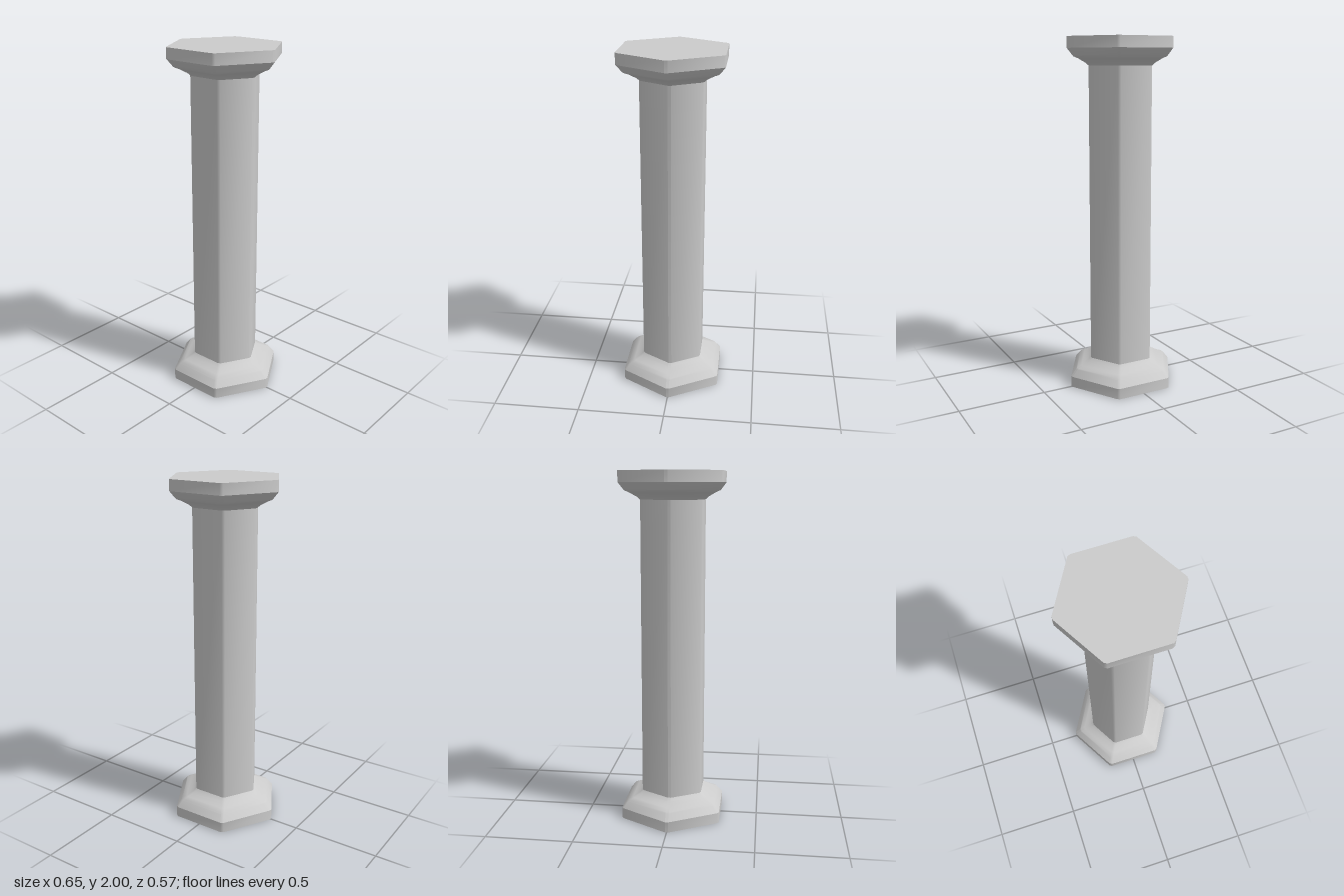
import * as THREE from 'three';
import { toCreasedNormals } from 'three/addons/utils/BufferGeometryUtils.js';

const CHAMFER = 0.01;

// Hexagon of circumradius r at height y, each corner cut by a small chamfer
function hexRing(r, y) {
  const corner = (k) => new THREE.Vector3(r * Math.cos(k * Math.PI / 3), y, -r * Math.sin(k * Math.PI / 3));
  const ring = [];
  for (let k = 0; k < 6; k++) {
    const c = corner(k);
    ring.push(c.clone().lerp(corner(k - 1), CHAMFER / r), c.clone().lerp(corner(k + 1), CHAMFER / r));
  }
  return ring;
}

// Skin a rising [radius, y] profile, with optional flat end faces
function hexColumn(name, profile, { bottom = false, top = false } = {}) {
  const rings = profile.map(([r, y]) => hexRing(r, y));
  const n = rings[0].length;
  const points = [];
  for (let i = 0; i < rings.length - 1; i++) {
    for (let j = 0; j < n; j++) {
      const k = (j + 1) % n;
      const [a, b, c, d] = [rings[i][j], rings[i][k], rings[i + 1][k], rings[i + 1][j]];
      points.push(a, b, c, a, c, d);
    }
  }
  const first = rings[0], last = rings[rings.length - 1];
  for (let j = 1; j < n - 1; j++) {
    if (bottom) points.push(first[0], first[j + 1], first[j]);
    if (top) points.push(last[0], last[j], last[j + 1]);
  }
  const geometry = toCreasedNormals(new THREE.BufferGeometry().setFromPoints(points), 0.6);
  const mesh = new THREE.Mesh(geometry, new THREE.MeshStandardMaterial({ color: 0xcccccc }));
  mesh.name = name;
  return mesh;
}

export function createModel() {
  const group = new THREE.Group();
  group.name = 'hexagonalColumn';

  // Plinth, sloped shoulder and stepped moulding running into the shaft
  const moulding = [
    [0.329, 0], [0.329, 0.062], [0.297, 0.1], [0.291, 0.106],
    [0.262, 0.117], [0.24, 0.129], [0.218, 0.14], [0.2, 0.155],
  ];
  const inverted = moulding.map(([r, y]) => [r, 2 - y]).reverse();

  group.add(
    hexColumn('base', moulding, { bottom: true }),
    hexColumn('shaft', [[0.2, 0.155], [0.2, 1.845]]),
    hexColumn('capital', inverted, { top: true }),
  );
  return group;
}
